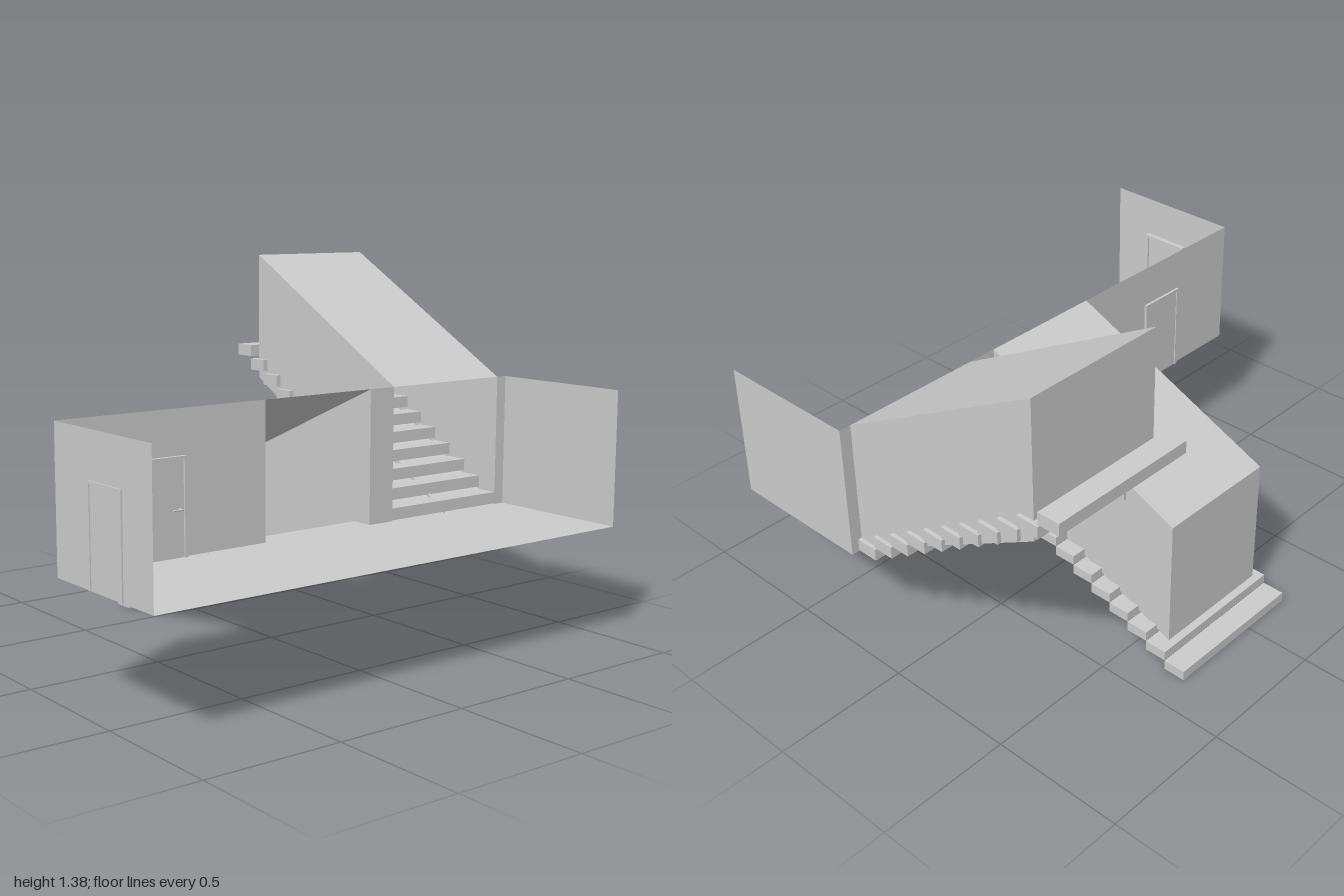
import * as THREE from 'three';

const mat = new THREE.MeshStandardMaterial({ color: 0xcccccc, flatShading: true });
const thin = new THREE.MeshStandardMaterial({ color: 0xcccccc, flatShading: true, side: THREE.DoubleSide });

const FLOOR = 0.417, TOP = 0.92, BACK = 0.19, FRONT = 0.75, LEFT = 1, RIGHT = -0.995;

function add(parent, name, geometry, material = mat) {
  const mesh = new THREE.Mesh(geometry, material);
  mesh.name = name;
  parent.add(mesh);
  return mesh;
}

// Box given by its minimum and maximum on each axis
function box(parent, name, x0, x1, y0, y1, z0, z1) {
  const mesh = add(parent, name, new THREE.BoxGeometry(x1 - x0, y1 - y0, z1 - z0));
  mesh.position.set((x0 + x1) / 2, (y0 + y1) / 2, (z0 + z1) / 2);
  return mesh;
}

// Thin four-cornered panel, corners counter-clockwise
function panel(parent, name, a, b, c, d) {
  const g = new THREE.BufferGeometry();
  g.setAttribute('position', new THREE.Float32BufferAttribute([a, b, c, a, c, d].flat(), 3));
  g.computeVertexNormals();
  return add(parent, name, g, thin);
}

// Door facing +z, standing on y = 0; side is where the handle sits
function door(name, side) {
  const g = new THREE.Group();
  g.name = name;
  const w = 0.0975, h = 0.345, t = 0.011;
  const s = new THREE.Shape();
  [[-w, 0], [-w, h], [w, h], [w, 0], [w - t, 0], [w - t, h - t], [t - w, h - t], [t - w, 0]]
    .forEach(([x, y], i) => (i ? s.lineTo(x, y) : s.moveTo(x, y)));
  const frame = add(g, 'doorFrame', new THREE.ExtrudeGeometry(s, { depth: 0.025, bevelEnabled: false }));
  frame.position.z = -0.01;
  box(g, 'doorLeaf', t - w, w - t, 0, h - t, -0.006, 0.008);
  const spindle = add(g, 'handleSpindle', new THREE.CylinderGeometry(0.004, 0.004, 0.016, 10));
  spindle.rotation.x = Math.PI / 2;
  spindle.position.set(side * 0.07, 0.165, 0.015);
  const lever = add(g, 'handleLever', new THREE.CylinderGeometry(0.003, 0.003, 0.038, 10));
  lever.rotation.z = Math.PI / 2;
  lever.position.set(side * 0.055, 0.165, 0.022);
  return g;
}

// Flight of separate treads on a central stringer inside a sloping enclosure
function flight(name, o) {
  const g = new THREE.Group();
  g.name = name;
  const run = 0.94 / 11;
  for (let i = 0; i < 11; i++) {
    const y = o.y + o.rise * i, z = BACK - run * i;
    box(g, 'tread', o.tread[0], o.tread[1], y, y + o.thick, z - run, z);
  }
  // Stringer profile is drawn as (-z, y), then turned to run along z
  const s = new THREE.Shape();
  o.stringer.forEach(([z, y], i) => (i ? s.lineTo(-z, y) : s.moveTo(-z, y)));
  const geo = new THREE.ExtrudeGeometry(s, { depth: 0.01, bevelEnabled: false });
  geo.rotateY(Math.PI / 2);
  add(g, 'stringer', geo).position.x = (o.tread[0] + o.tread[1]) / 2 - 0.005;

  // Enclosure: two sides, roof, sloping floor and end wall, open to the room
  const [a, b] = o.wall, [lo, hi] = o.end, E = -0.635;
  panel(g, 'enclosureLeftSide', [b, FLOOR, BACK], [b, lo, E], [b, hi, E], [b, TOP, BACK]);
  panel(g, 'enclosureRightSide', [a, FLOOR, BACK], [a, TOP, BACK], [a, hi, E], [a, lo, E]);
  panel(g, 'enclosureRoof', [a, TOP, BACK], [b, TOP, BACK], [b, hi, E], [a, hi, E]);
  panel(g, 'enclosureFloor', [a, FLOOR, BACK], [a, lo, E], [b, lo, E], [b, FLOOR, BACK]);
  panel(g, 'enclosureEnd', [a, lo, E], [a, hi, E], [b, hi, E], [b, lo, E]);
  return g;
}

export function createModel() {
  const model = new THREE.Group();
  model.name = 'stairHall';

  // Landing room, open at the front and on top
  const room = new THREE.Group();
  room.name = 'landingRoom';
  model.add(room);
  panel(room, 'floor', [RIGHT, FLOOR, FRONT], [LEFT, FLOOR, FRONT], [LEFT, FLOOR, BACK], [RIGHT, FLOOR, BACK]);
  panel(room, 'leftWall', [LEFT, FLOOR, FRONT], [LEFT, FLOOR, BACK], [LEFT, TOP, BACK], [LEFT, TOP, FRONT]);
  panel(room, 'rightWall', [RIGHT, FLOOR, BACK], [RIGHT, FLOOR, FRONT], [RIGHT, TOP, FRONT], [RIGHT, TOP, BACK]);

  // Back wall in three pieces between the stair openings
  const down = [-0.17, 0.308], up = [0.42, 0.955];
  for (const [x0, x1] of [[RIGHT, down[0]], [down[1], up[0]], [up[1], LEFT]]) {
    panel(room, 'backWall', [x0, FLOOR, BACK], [x1, FLOOR, BACK], [x1, TOP, BACK], [x0, TOP, BACK]);
  }

  // Doors
  const backDoor = door('backDoor', 1);
  backDoor.position.set(-0.603, FLOOR, BACK);
  const sideDoor = door('sideDoor', -1);
  sideDoor.rotation.y = Math.PI / 2;
  sideDoor.position.set(-0.99, FLOOR, 0.488);
  room.add(backDoor, sideDoor);

  // Stairs
  model.add(flight('downStairs', {
    y: 0.38, rise: -0.038, thick: 0.037, tread: [-0.203, 0.365], wall: down, end: [0.075, 0.562],
    stringer: [[0.19, 0.355], [0.19, 0.415], [-0.665, 0.036], [-0.74, 0], [-0.61, 0]],
  }));
  model.add(flight('upStairs', {
    y: 0.42, rise: 0.0545, thick: 0.045, tread: [0.4, 0.97], wall: up, end: [0.88, 1.377],
    stringer: [[0.19, 0.414], [0.19, 0.425], [-0.75, 1.005], [-0.75, 0.94], [0.08, 0.414]],
  }));
  return model;
}
